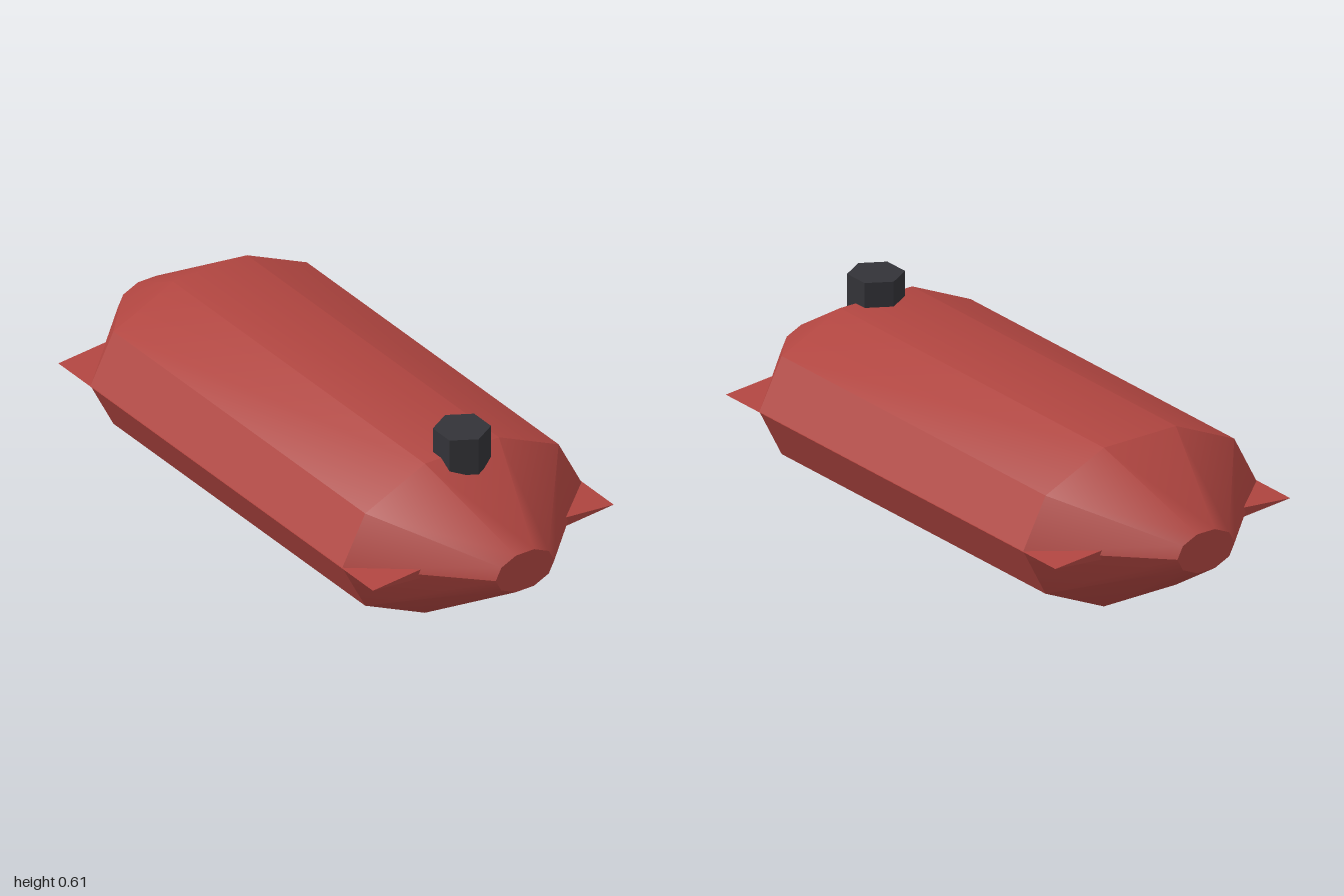
import * as THREE from 'three';
import { toCreasedNormals } from 'three/addons/utils/BufferGeometryUtils.js';

const HALF_WIDTH = 0.445, RADIUS_Y = 0.277, CENTRE_Y = 0.265;

export function createModel() {
  const model = new THREE.Group();
  model.name = 'capsuleTank';

  const red = new THREE.MeshStandardMaterial({ color: 0xb04540 });
  red.name = 'hull red';
  const charcoal = new THREE.MeshStandardMaterial({ color: 0x333338 });
  charcoal.name = 'cap charcoal';

  const add = (name, geometry, material, y, z = 0) => {
    const mesh = new THREE.Mesh(geometry, material);
    mesh.name = name;
    mesh.position.set(0, y, z);
    model.add(mesh);
  };

  // Ten-sided hull, flattened, with tapered blunt ends
  const profile = [[0, -1], [0.245, -1], [1, -0.666], [1, 0.666], [0.245, 1], [0, 1]]
    .map(([r, l]) => new THREE.Vector2(r, l));
  const hull = new THREE.LatheGeometry(profile, 10, Math.PI / 2)
    .rotateX(Math.PI / 2)
    .scale(HALF_WIDTH, RADIUS_Y, 1);
  add('hull', toCreasedNormals(hull, THREE.MathUtils.degToRad(36)), red, CENTRE_Y);

  // Thin diamond plate through the hull; its corners form the four fins
  const diamond = new THREE.Shape([
    new THREE.Vector2(0.448, 0), new THREE.Vector2(0, 0.038),
    new THREE.Vector2(-0.448, 0), new THREE.Vector2(0, -0.038),
  ]);
  const fins = new THREE.ExtrudeGeometry(diamond, { depth: 1.664, bevelEnabled: false });
  fins.translate(0, 0, -0.832);
  add('fins', fins, red, CENTRE_Y);

  // Hexagonal filler cap near the front
  const cap = new THREE.CylinderGeometry(0.089, 0.089, 0.124, 6);
  add('fillerCap', toCreasedNormals(cap, 0.5), charcoal, 0.549, 0.666);

  return model;
}
